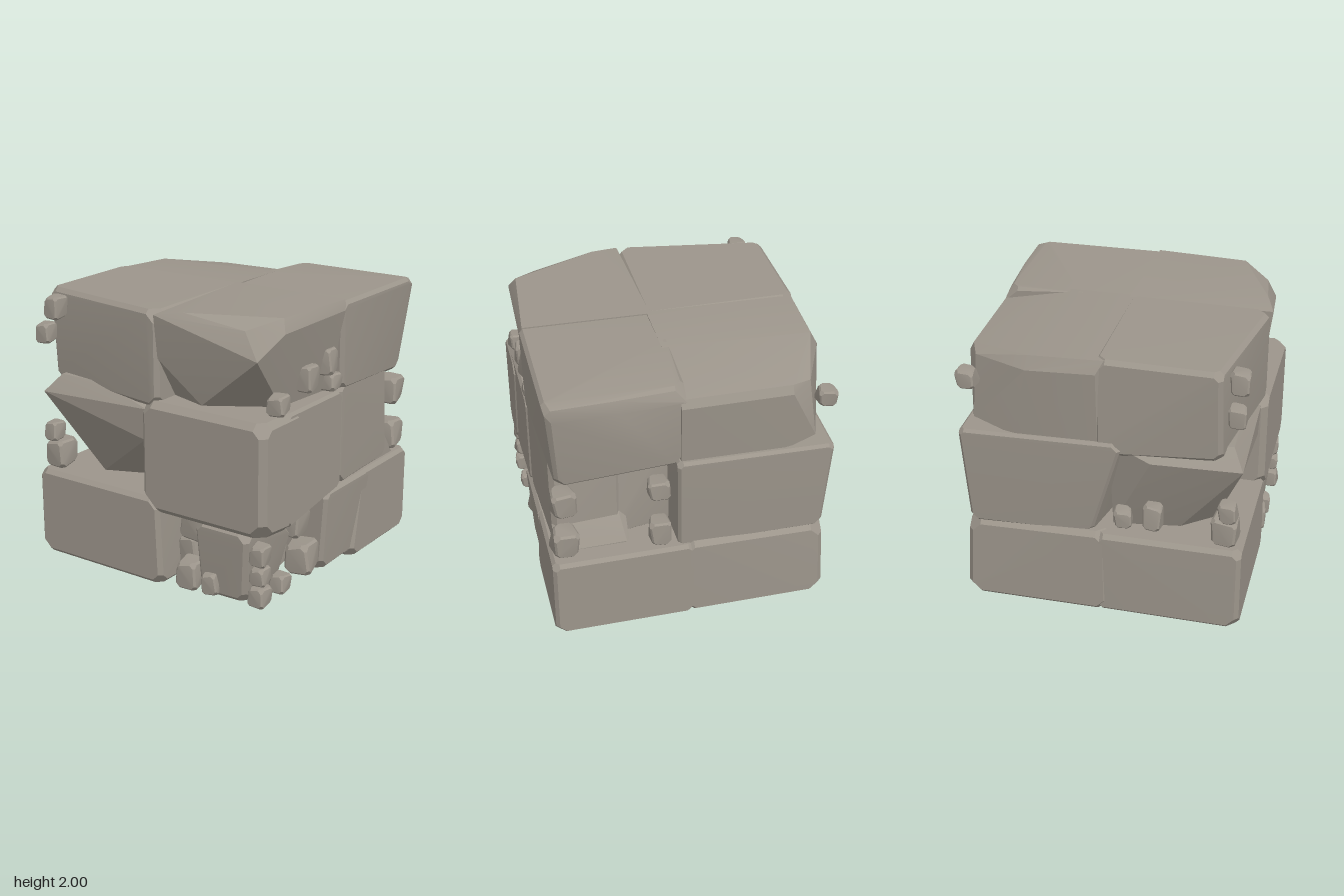
import * as THREE from 'three';
import { ConvexGeometry } from 'three/addons/geometries/ConvexGeometry.js';
import { toCreasedNormals } from 'three/addons/utils/BufferGeometryUtils.js';

const stone = new THREE.MeshStandardMaterial({ color: 0x9c958b });

// small seeded generator, -1..1
let seed = 7;
const jitter = () => {
  seed = (seed * 16807) % 2147483647;
  return (seed / 2147483647) * 2 - 1;
};

const hull = (name, points) => {
  const geometry = new ConvexGeometry(points.map((p) => new THREE.Vector3(...p)));
  const mesh = new THREE.Mesh(toCreasedNormals(geometry, 0.35), stone);
  mesh.name = name;
  return mesh;
};

// Points of a box with bevelled edges and larger chipped corners.
// moves shifts corners, keyed by the signs of x, y and z such as '+-+'
const ORDERS = [[0, 1, 2], [0, 2, 1], [1, 0, 2], [1, 2, 0], [2, 0, 1], [2, 1, 0]];
function worn(min, max, bevel, moves = {}) {
  const points = [];
  for (const sx of [0, 1]) for (const sy of [0, 1]) for (const sz of [0, 1]) {
    const s = [sx, sy, sz];
    const move = moves[s.map((v) => (v ? '+' : '-')).join('')] || [0, 0, 0];
    const insets = [0, bevel, bevel * (2.4 + 0.6 * jitter())];
    for (const order of ORDERS) {
      points.push(s.map((v, i) => (v ? max[i] - insets[order[i]] : min[i] + insets[order[i]]) + move[i]));
    }
  }
  return points;
}

const block = (name, ...args) => hull(name, worn(...args));

// Small tapered, slightly turned stone
function pebble([x, y, z, w, h, d = w]) {
  const taper = 0.08 * w;
  const mesh = block('pebble', [-w / 2, -h / 2, -d / 2], [w / 2, h / 2, d / 2], w * 0.08, {
    '+++': [-taper, 0, -taper], '-++': [taper, -taper, 0], '+--': [-taper, taper, 0], '---': [0, 0, taper],
  });
  mesh.position.set(x, y, z);
  mesh.rotation.set(0.08 * jitter(), 0.12 * jitter(), 0.1 * jitter());
  return mesh;
}

export function createModel() {
  seed = 7;
  const model = new THREE.Group();
  model.name = 'stoneCube';

  // Bottom course, open at the front left corner
  model.add(
    block('bottomFrontRightBlock', [-1, 0, -0.05], [0.13, 0.65, 0.99], 0.03, { '+++': [-0.02, 0, 0], '---': [0.01, 0, 0] }),
    block('bottomBackRightBlock', [-1, 0, -1], [0.06, 0.66, 0.05], 0.035, { '-+-': [0.02, -0.03, 0.02] }),
    block('bottomBackLeftBlock', [-0.04, 0, -1], [0.995, 0.65, -0.2], 0.025, { '+++': [0, 0, -0.1], '-++': [0, 0, -0.1] }),
    block('bottomSideBlock', [-0.02, 0, -0.42], [1, 0.65, 0.2], 0.025, { '+--': [-0.03, 0.05, 0.1], '+-+': [-0.03, 0.04, 0] }),
  );

  // Broken pillar in the open corner
  model.add(block('brokenPillar', [0.4, 0.02, 0.4], [0.84, 0.56, 0.96], 0.03, {
    '++-': [0, -0.09, 0], '+--': [-0.05, 0, 0.07], '+-+': [-0.04, 0, -0.04], '--+': [0.02, 0, -0.03],
  }));

  // Middle course
  model.add(
    block('middleFrontLeftBlock', [-0.03, 0.55, 0.48], [1, 1.36, 1], 0.045, {
      '+--': [0, -0.02, 0.1], '---': [0, 0, -0.3], '-+-': [0, 0, -0.3],
    }),
    block('middleSideBlock', [0, 0.54, -0.01], [0.99, 1.36, 0.7], 0.02, { '+--': [0, 0.09, 0], '---': [0, 0.09, 0] }),
    block('middleBackLeftBlock', [0.45, 0.63, -0.71], [0.98, 1.41, 0.02], 0.035, {
      '+--': [-0.03, 0, -0.05], '++-': [-0.03, 0, 0], '---': [0, 0, -0.04],
    }),
    block('middleBackFoot', [0.42, 0.6, -0.85], [0.95, 0.88, -0.4], 0.02, { '++-': [0, 0, 0.13], '-+-': [0, 0, 0.13] }),
    block('middleBackPillar', [0.03, 0.63, -0.68], [0.55, 1.4, 0.02], 0.03, { '+--': [0, 0, -0.06] }),
    block('middleBackRightBlock', [-1, 0.62, -1], [0.11, 1.39, 0.14], 0.02, {
      '-+-': [0, -0.02, 0], '---': [0.03, 0, 0.04], '--+': [0.05, 0, -0.2], '+--': [-0.02, 0, 0.04], '+++': [0, -0.05, 0],
    }),
    hull('middleFrontRightWedge', [
      [-0.93, 1.25, 0.97], [-0.82, 1.38, 0.89], [-0.45, 1.38, 0.88], [-0.1, 1.3, 0.93], [0, 1.28, 0.95],
      [-0.03, 1.05, 0.94], [-0.57, 0.65, 0.74], [-0.75, 0.65, 0.52], [0, 0.65, 0.5], [-0.99, 1.27, 0.35],
      [-0.92, 1.36, 0.05], [0.02, 1.36, -0.02], [-0.82, 0.65, 0.05], [0.02, 0.63, -0.02],
    ]),
  );

  // Top course
  model.add(
    block('topFrontRightBlock', [-0.98, 1.28, -0.04], [0.11, 2, 0.97], 0.03, {
      '-++': [0, -0.01, -0.15], '--+': [0.04, 0.03, -0.14], '+-+': [0, 0.03, 0], '+++': [0, -0.01, 0],
    }),
    // its top falls away towards the back
    hull('topBackRightBlock', [
      [-0.96, 1.99, 0.03], [0.1, 2, 0.06], [-0.95, 1.97, -0.49], [0.1, 2, -0.48], [-1, 1.9, -0.02], [-1, 1.88, -0.5],
      [-0.82, 1.87, -0.9], [-0.68, 1.89, -0.96], [0.09, 1.9, -0.97], [0.09, 1.84, -1], [-0.68, 1.83, -0.99],
      [-0.97, 1.36, -0.02], [-0.97, 1.36, -0.6], [-0.88, 1.42, -0.92], [-0.65, 1.36, -0.96], [0.08, 1.33, -0.96],
      [0.08, 1.33, 0.05],
    ]),
    hull('topBackLeftBlock', [
      ...worn([0.05, 1.35, -0.95], [1, 1.99, 0.03], 0.025, { '+--': [-0.06, -0.06, 0.02], '+-+': [-0.01, 0, -0.02] }),
      [0.05, 2, -0.4], [0.05, 1.88, -0.98], [0.55, 1.97, -0.98], [0.95, 1.97, -0.99], [0.99, 1.93, -0.98],
      [0.5, 1.88, -1], [0.95, 1.88, -1],
    ]),
    hull('topFrontLeftWedge', [
      [0.1, 1.97, 0.99], [0.3, 2, 0.92], [0.1, 1.66, 0.95], [0.4, 1.36, 0.86], [0.75, 1.93, 0.86],
      [0.92, 2, 0.66], [0.88, 1.75, 0.91], [0.97, 1.91, 0.72], [1, 1.93, 0], [0.98, 2, -0.02],
      [0.85, 1.36, 0.58], [0.9, 1.36, 0], [0.08, 1.34, 0.75], [0.06, 1.34, -0.04], [0.06, 2, -0.04],
    ]),
  );

  // Loose pebbles: x, y, z, width, height, depth
  const pebbles = [
    // open bottom corner
    [0.28, 0.43, 0.7, 0.24, 0.21], [0.22, 0.2, 0.72, 0.16, 0.26], [0.33, 0.13, 0.9, 0.17, 0.2],
    [0.53, 0.12, 0.93, 0.12, 0.15], [0.93, 0.43, 0.93, 0.12, 0.14], [0.93, 0.28, 0.93, 0.12, 0.12],
    [0.93, 0.13, 0.93, 0.13, 0.14], [0.93, 0.13, 0.68, 0.12, 0.13], [0.87, 0.18, 0.31, 0.2, 0.22],
    [0.82, 0.44, 0.32, 0.15, 0.21], [0.62, 0.14, 0.29, 0.15, 0.2], [0.4, 0.42, 0.3, 0.15, 0.2],
    [0.24, 0.14, 0.35, 0.16, 0.2],
    // left side, under the top wedge
    [0.93, 1.43, 0.73, 0.13, 0.13], [0.93, 1.53, 0.38, 0.13, 0.18], [0.93, 1.59, 0.13, 0.13, 0.18],
    [0.93, 1.43, 0.07, 0.13, 0.12],
    // back recess
    [0.89, 1.13, -0.88, 0.17, 0.2], [0.89, 0.78, -0.88, 0.18, 0.21],
    [0.23, 1.16, -0.92, 0.15, 0.15], [0.22, 0.78, -0.92, 0.15, 0.2],
    // right side, beside the middle wedge
    [-0.92, 0.93, 0.88, 0.12, 0.14], [-0.88, 0.77, 0.86, 0.18, 0.2], [-0.93, 0.79, 0.15, 0.12, 0.13],
    [-0.92, 0.82, 0.36, 0.13, 0.18],
    // upper corners
    [-0.83, 1.88, 0.92, 0.13, 0.16], [-0.93, 1.68, 0.92, 0.12, 0.14], [-0.93, 1.75, -0.93, 0.13, 0.13],
  ];
  const rubble = new THREE.Group();
  rubble.name = 'pebbles';
  pebbles.forEach((p) => rubble.add(pebble(p)));
  model.add(rubble);
  return model;
}
